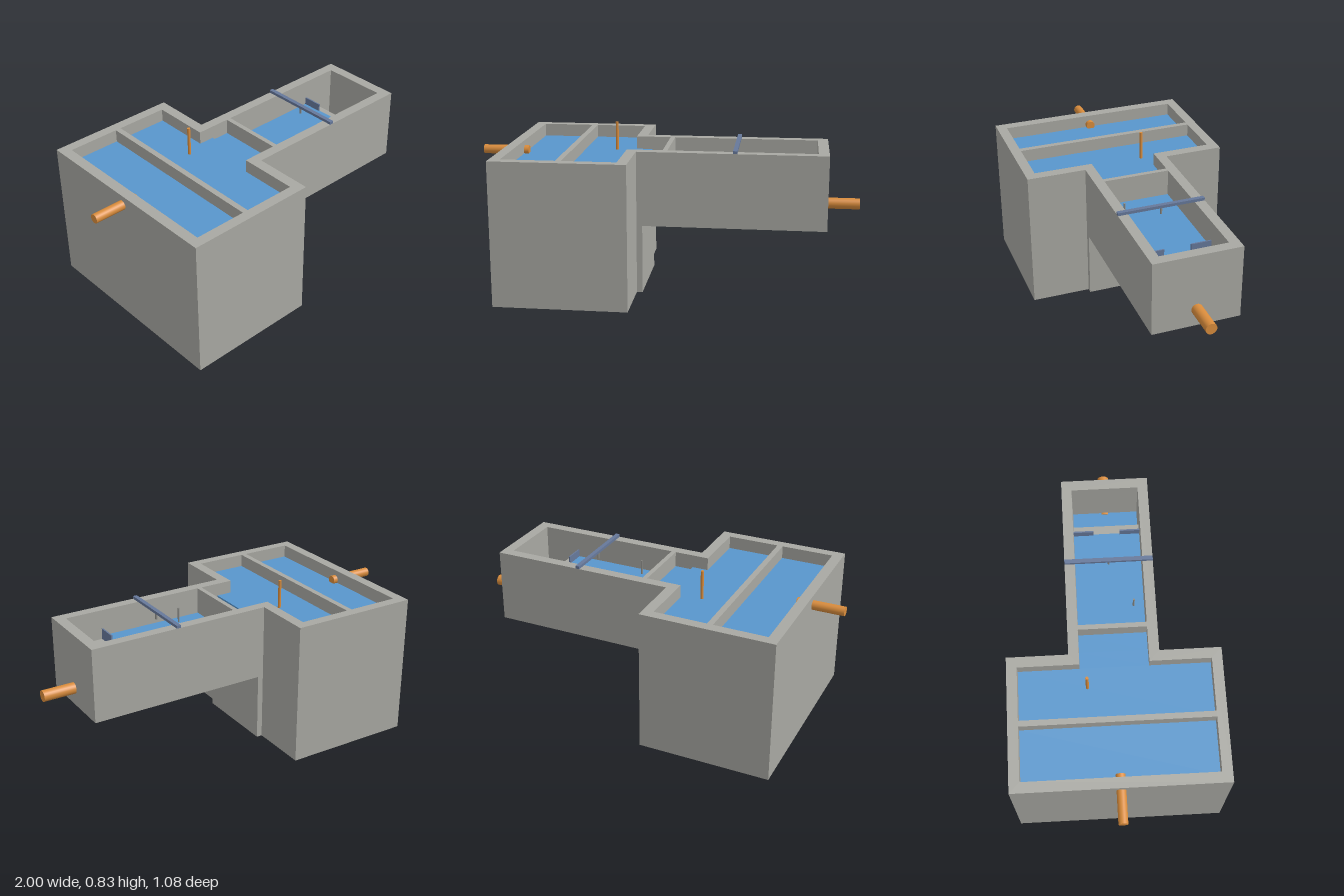
import * as THREE from 'three';

const mat = (name, color) => {
  const m = new THREE.MeshStandardMaterial({ color });
  m.name = name;
  return m;
};

export function createModel() {
  const concrete = mat('concrete', 0xa8a8a2);
  const water = mat('water', 0x5896cc);
  const pipe = mat('orange pipe', 0xd98c3c);
  const steel = mat('slate steel', 0x66789a);
  const probe = mat('grey probe', 0x8c8c88);

  const model = new THREE.Group();
  model.name = 'settlingTank';

  const add = (name, geometry, material) => {
    const mesh = new THREE.Mesh(geometry, material);
    mesh.name = name;
    model.add(mesh);
    return mesh;
  };
  // Box given by its limits on each axis
  const box = (name, material, x0, x1, y0, y1, z0, z1) =>
    add(name, new THREE.BoxGeometry(x1 - x0, y1 - y0, z1 - z0), material)
      .position.set((x0 + x1) / 2, (y0 + y1) / 2, (z0 + z1) / 2);
  const rod = (name, material, r, x, y0, y1, z) =>
    add(name, new THREE.CylinderGeometry(r, r, y1 - y0, 16), material)
      .position.set(x, (y0 + y1) / 2, z);
  const sidePipe = (name, r, x0, x1, y) => {
    const g = new THREE.CylinderGeometry(r, r, x1 - x0, 24).rotateZ(Math.PI / 2);
    add(name, g, pipe).position.set((x0 + x1) / 2, y, 0);
  };
  // T-shaped plan: wide tank (x0..x1, half width w) with a narrow stem to x2
  const plan = (x0, x1, x2, w, s) => [
    [x0, -w], [x1, -w], [x1, -s], [x2, -s], [x2, s], [x1, s], [x1, w], [x0, w],
  ].map(([x, y]) => new THREE.Vector2(x, y));
  const shell = (name, outline, hole, y0, y1) => {
    const shape = new THREE.Shape(outline);
    if (hole) shape.holes.push(new THREE.Path(hole));
    const g = new THREE.ExtrudeGeometry(shape, { depth: y1 - y0, bevelEnabled: false });
    add(name, g.rotateX(-Math.PI / 2), concrete).position.y = y0;
  };

  // Concrete walls and floors
  const lower = plan(-0.835, -0.145, -0.115, 0.54, 0.228);
  const tankHole = [[-0.78, -0.487], [-0.2, -0.487], [-0.2, 0.487], [-0.78, 0.487]]
    .map(([x, y]) => new THREE.Vector2(x, y));
  shell('tankFloor', lower, null, 0, 0.05);
  shell('lowerTankWalls', lower, tankHole, 0.05, 0.36);
  shell('upperWalls', plan(-0.835, -0.145, 0.83, 0.54, 0.228),
    plan(-0.78, -0.2, 0.775, 0.487, 0.175), 0.36, 0.75);
  box('channelFloor', concrete, -0.2, 0.775, 0.36, 0.41, -0.175, 0.175);
  box('tankDivider', concrete, -0.505, -0.475, 0.05, 0.75, -0.487, 0.487);
  box('channelDivider', concrete, -0.015, 0.01, 0.41, 0.75, -0.175, 0.175);
  box('weirWall', concrete, 0.58, 0.635, 0.41, 0.592, -0.175, 0.175);

  // Water, stepping down from chamber to chamber
  box('inletWater', water, -0.78, -0.505, 0.05, 0.682, -0.487, 0.487);
  box('tankWater', water, -0.475, -0.2, 0.05, 0.682, -0.487, 0.487);
  box('tankOverflowWater', water, -0.2, -0.115, 0.41, 0.682, -0.175, 0.175);
  box('throatWater', water, -0.115, -0.015, 0.41, 0.668, -0.175, 0.175);
  box('channelWater', water, 0.01, 0.58, 0.41, 0.61, -0.175, 0.175);
  box('outletWater', water, 0.635, 0.775, 0.41, 0.475, -0.175, 0.175);

  // Pipes
  sidePipe('inletPipe', 0.024, -1, -0.755, 0.698);
  sidePipe('outletPipe', 0.029, 0.765, 1, 0.453);

  // Notched weir plate
  const notch = new THREE.Shape([
    [-0.175, 0.55], [0.175, 0.55], [0.175, 0.65], [0.07, 0.65],
    [0.07, 0.605], [-0.07, 0.605], [-0.07, 0.65], [-0.175, 0.65],
  ].map(([x, y]) => new THREE.Vector2(x, y)));
  const plate = new THREE.ExtrudeGeometry(notch, { depth: 0.008, bevelEnabled: false });
  add('weirPlate', plate.rotateY(Math.PI / 2), steel).position.x = 0.574;

  // Cross beam with hanging sensor, and the measuring rods
  box('crossBeam', steel, 0.347, 0.369, 0.75, 0.765, -0.228, 0.228);
  rod('beamSensor', probe, 0.006, 0.358, 0.715, 0.75, 0);
  rod('tankProbe', pipe, 0.008, -0.302, 0.5, 0.835, -0.14);
  rod('channelProbe', probe, 0.005, 0.16, 0.5, 0.69, 0.12);

  return model;
}
